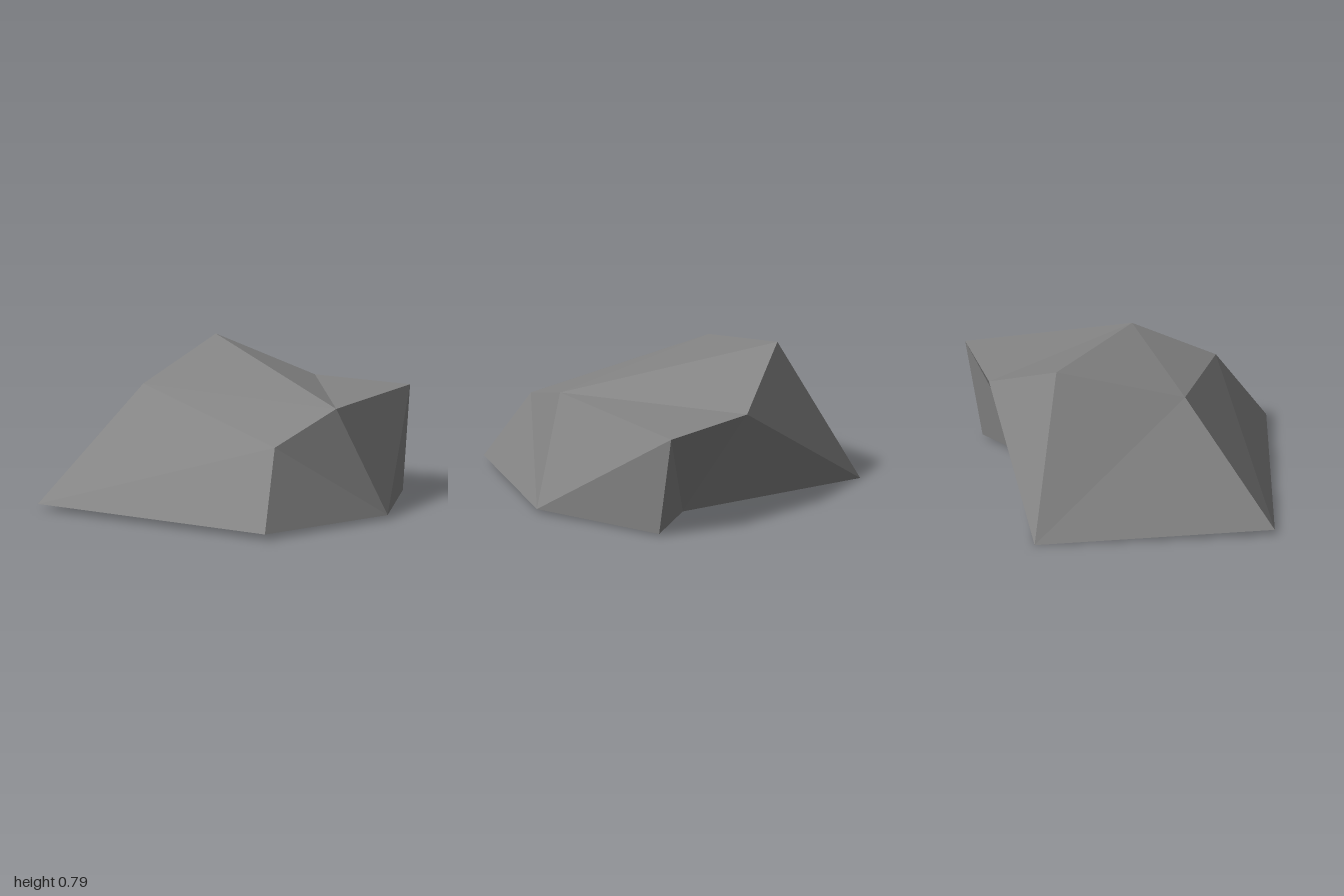
import * as THREE from 'three';

// Faceted low-poly boulder: named corners joined by flat facets
export function createModel() {
  const corners = {
    // foot ring
    A: [-1, 0.03, -0.14], B: [-0.11, 0.03, 0.98], C: [0.66, 0.02, 0.61],
    D: [0.94, 0.01, -0.06], L: [0.59, 0.015, -0.14], F: [-0.08, 0, -0.98],
    // upper ring and peak
    G: [-0.43, 0.63, -0.15], H: [0.085, 0.785, -0.57], I: [0.41, 0.575, 0.52],
    J: [0.02, 0.43, 0.72], K: [0.59, 0.56, -0.475], E: [1, 0.55, -0.13],
  };
  const facets = [
    'ABJ', 'AJG', 'BCJ', 'CIJ', 'CEI', 'CDE', // front and sides
    'GJI', 'GIH', 'HIK', 'KIE',               // top
    'DLE', 'LKE', 'LFK', 'FHK', 'FAG', 'FGH', // back and overhang
    'LDC', 'LCB', 'LBA', 'LAF',               // underside
  ];
  const positions = facets.flatMap((f) => [...f].flatMap((c) => corners[c]));
  const geometry = new THREE.BufferGeometry();
  geometry.setAttribute('position', new THREE.Float32BufferAttribute(positions, 3));
  geometry.computeVertexNormals();

  const stone = new THREE.MeshStandardMaterial({ color: 0x868686, flatShading: true });
  stone.name = 'stone grey';

  const rock = new THREE.Mesh(geometry, stone);
  rock.name = 'rock';
  const group = new THREE.Group();
  group.name = 'boulder';
  group.add(rock);
  return group;
}
